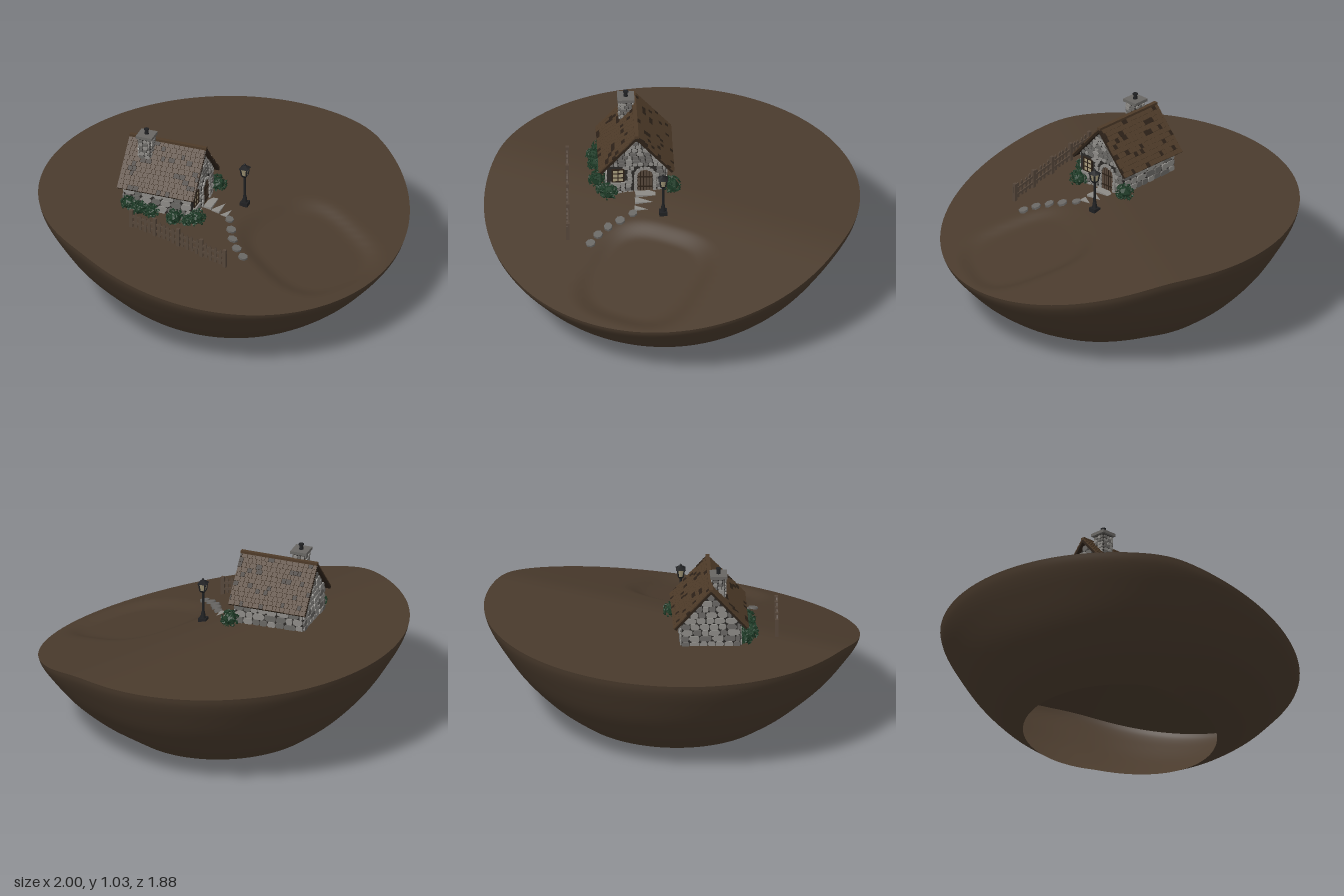
import * as THREE from 'three';
import { mergeGeometries, mergeVertices } from 'three/addons/utils/BufferGeometryUtils.js';

const mat = (name, color, side = THREE.FrontSide) => {
  const m = new THREE.MeshStandardMaterial({ color, side });
  m.name = name;
  return m;
};

let seed = 7;
const rnd = (a = 0, b = 1) => {
  seed = (seed * 16807) % 2147483647;
  return a + (b - a) * (seed / 2147483647);
};

// Ground height: nearly level at the back, sloping at the front, with a shallow basin
function groundY(x, z) {
  const level = 0.612 - 0.025 * z, slope = 0.617 - 0.283 * z, k = 0.012;
  const base = -k * Math.log(Math.exp(-level / k) + Math.exp(-slope / k)) + 0.004;
  const d = Math.cbrt(Math.abs((x - 0.12) / 0.33) ** 3 + Math.abs((z - 0.55) / 0.33) ** 3);
  return base - 0.03 * (1 - THREE.MathUtils.smoothstep(d, 0.75, 1.08));
}

// Smooth sheet from a rule (u, v) -> point
function sheet(nu, nv, rule) {
  const g = new THREE.PlaneGeometry(1, 1, nu, nv), p = g.attributes.position, uv = g.attributes.uv;
  for (let i = 0; i < p.count; i++) p.setXYZ(i, ...rule(uv.getX(i), uv.getY(i)));
  g.deleteAttribute('uv');
  g.deleteAttribute('normal');
  const merged = mergeVertices(g, 1e-5);
  merged.computeVertexNormals();
  return merged;
}

// Gathers transformed geometries and joins them into one mesh
class Batch {
  constructor() { this.list = []; }
  add(geo, x = 0, y = 0, z = 0, rx = 0, ry = 0, rz = 0, frame) {
    const g = geo.index ? geo.toNonIndexed() : geo.clone();
    g.applyMatrix4(new THREE.Matrix4().makeRotationFromEuler(new THREE.Euler(rx, ry, rz)).setPosition(x, y, z));
    if (frame) g.applyMatrix4(frame);
    this.list.push(g);
  }
  mesh(name, material, parent) {
    const m = new THREE.Mesh(mergeGeometries(this.list), material);
    m.name = name;
    parent.add(m);
  }
}
const box = (w, h, d) => new THREE.BoxGeometry(w, h, d);
const frameAt = (x, y, z, ry) => new THREE.Matrix4().makeRotationY(ry).setPosition(x, y, z);
const polygon = (pts, depth) => new THREE.ExtrudeGeometry(
  new THREE.Shape(pts.map(([x, y]) => new THREE.Vector2(x, y))), { depth, bevelEnabled: false });

// One rough-cut stone face
function stone(w, h) {
  const a = w / 2, b = h / 2, c = () => rnd(0.1, 0.55);
  return polygon([[-a, -b * c()], [-a * (1 - c()), -b], [a * (1 - c()), -b], [a, -b * c()],
    [a, b * c()], [a * (1 - c()), b], [-a * (1 - c()), b], [-a, b * c()]], rnd(0.005, 0.01));
}

// Courses of stone on one wall
function stoneWall(batches, frame, y0, y1, row, halfAt, skip = () => false) {
  for (let y = y0 + row / 2; y < y1; y += row) {
    const half = halfAt(y + row * 0.3);
    let x = -half;
    while (x < half - 0.008) {
      let w = Math.min(row * rnd(1.0, 1.9), half - x);
      if (half - x - w < row * 0.5) w = half - x;
      if (!skip(x + w / 2, y)) batches[rnd() < 0.55 ? 0 : 1].add(stone(w - 0.003, row - 0.003), x + w / 2, y, 0, 0, 0, 0, frame);
      x += w;
    }
  }
}

export function createModel() {
  const root = new THREE.Group();
  root.name = 'hillCottage';
  const earth = mat('earth', 0x4a3b2d, THREE.DoubleSide), light = mat('lightStone', 0x8c8a86),
    grey = mat('greyStone', 0x686663), mortar = mat('mortar', 0x2b2927), shingle = mat('shingle', 0x4d3a28),
    dark = mat('darkWood', 0x2c2118), wood = mat('weatheredWood', 0x55463a), leaf = mat('leaf', 0x1d3a26),
    iron = mat('iron', 0x1f2022), glass = mat('paleGlass', 0xa79c7c);
  const put = (name, geo, material, parent, x = 0, y = 0, z = 0) => {
    const m = new THREE.Mesh(geo, material);
    m.name = name;
    m.position.set(x, y, z);
    parent.add(m);
    return m;
  };

  // Ground disc and open-bottomed bowl
  const RZ = 0.94;
  put('ground', sheet(128, 64, (u, v) => {
    const a = -u * Math.PI * 2, x = v * Math.cos(a), z = v * RZ * Math.sin(a);
    return [x, groundY(x, z), z];
  }), earth, root);
  const profile = new THREE.SplineCurve([[0, 1], [0.09, 0.985], [0.25, 0.935], [0.54, 0.825], [0.81, 0.68], [1, 0.54]]
    .map(p => new THREE.Vector2(...p)));
  put('bowl', sheet(128, 24, (u, v) => {
    const a = -u * Math.PI * 2, c = Math.cos(a), s = Math.sin(a), p = profile.getPoint(1 - v);
    const bottom = 0.07 - 0.07 * Math.max(0, s) ** 1.2;
    return [c * p.y, THREE.MathUtils.lerp(groundY(c, s * RZ), bottom, p.x), s * RZ * p.y];
  }), earth, root);

  // Cottage walls
  const house = new THREE.Group();
  house.name = 'cottage';
  house.position.set(-0.28, 0, -0.12);
  house.rotation.y = 0.515;
  root.add(house);
  const W = 0.155, L = 0.19, EAVE = 0.76, APEX = 0.935;
  put('wallCore', polygon([[-W, 0.578], [W, 0.578], [W, EAVE], [0, APEX], [-W, EAVE]], 2 * L), mortar, house, 0, 0, -L);
  const stones = [new Batch(), new Batch()];
  const gable = y => (y < EAVE ? W : Math.max(0, W * (APEX - y) / (APEX - EAVE)));
  const DX = 0.045, WX = -0.098;
  const opening = (x, y) => (Math.abs(x - DX) < 0.058 && y < 0.752) || (Math.abs(x - WX) < 0.04 && y > 0.652 && y < 0.748);
  stoneWall(stones, frameAt(0, 0, L, 0), 0.58, 0.92, 0.022, gable, opening);
  stoneWall(stones, frameAt(0, 0, -L, Math.PI), 0.58, 0.92, 0.034, gable);
  for (const s of [-1, 1]) stoneWall(stones, frameAt(s * W, 0, 0, s * Math.PI / 2), 0.58, 0.755, 0.036, () => L);

  // Chimney
  const CX = -0.044, CZ = -0.105, CH = 0.032;
  put('chimneyCore', box(2 * CH, 0.16, 2 * CH), mortar, house, CX, 0.91, CZ);
  for (let i = 0; i < 4; i++) {
    const a = i * Math.PI / 2;
    stoneWall(stones, frameAt(CX + CH * Math.sin(a), 0, CZ + CH * Math.cos(a), a), 0.87, 0.98, 0.018, () => CH);
  }
  put('chimneyCap', box(0.09, 0.016, 0.09), grey, house, CX, 0.994, CZ);
  put('chimneyPot', new THREE.CylinderGeometry(0.009, 0.012, 0.03, 10), iron, house, CX, 1.015, CZ);
  put('chimneyPotRim', new THREE.CylinderGeometry(0.014, 0.014, 0.006, 10), iron, house, CX, 1.03, CZ);

  // Door with stone arch
  const arch = new THREE.Shape();
  arch.moveTo(-0.04, 0.598).lineTo(0.04, 0.598).lineTo(0.04, 0.695).absarc(0, 0.695, 0.04, 0, Math.PI, false).lineTo(-0.04, 0.598);
  put('door', new THREE.ExtrudeGeometry(arch, { depth: 0.004, bevelEnabled: false, curveSegments: 10 }), wood, house, DX, 0, L);
  const trim = new Batch();
  for (const x of [-0.024, -0.008, 0.008, 0.024]) trim.add(box(0.003, 0.125, 0.002), DX + x, 0.662, L + 0.005);
  for (const y of [0.63, 0.69]) trim.add(box(0.072, 0.007, 0.003), DX, y, L + 0.006);
  for (let i = 0; i <= 8; i++) {
    const a = i * Math.PI / 8;
    stones[0].add(stone(0.018, 0.018), DX + 0.05 * Math.cos(a), 0.695 + 0.05 * Math.sin(a), L + 0.003, 0, 0, a);
  }
  for (const s of [-1, 1]) for (let i = 0; i < 4; i++) stones[0].add(stone(0.018, 0.022), DX + s * 0.05, 0.609 + i * 0.024, L + 0.003);

  // Window
  put('windowPane', box(0.056, 0.072, 0.004), glass, house, WX, 0.7, L + 0.003);
  for (const x of [-0.03, 0, 0.03]) trim.add(box(x ? 0.007 : 0.004, 0.08, 0.008), WX + x, 0.7, L + 0.005);
  for (const y of [-0.038, -0.012, 0.014, 0.038]) trim.add(box(0.066, Math.abs(y) > 0.03 ? 0.007 : 0.004, 0.008), WX, 0.7 + y, L + 0.005);
  trim.mesh('doorAndWindowTrim', dark, house);
  put('windowSill', box(0.076, 0.01, 0.02), light, house, WX, 0.656, L + 0.008);
  stones[0].mesh('lightWallStones', light, house);
  stones[1].mesh('greyWallStones', grey, house);

  // Doorstep
  const steps = new Batch();
  for (let i = 0; i < 3; i++) steps.add(box(0.105 + i * 0.008, 0.03, 0.044), DX, 0.592 - i * 0.014, 0.222 + i * 0.046);
  steps.mesh('doorSteps', light, house);

  // Roof slopes with rows of shingles
  const slopeLen = 0.287, pitch = Math.atan2(0.215, 0.19), roofLen = 0.43;
  for (const s of [-1, 1]) {
    const roof = new THREE.Group();
    roof.name = s > 0 ? 'leftRoof' : 'rightRoof';
    roof.position.y = 0.945;
    roof.rotation.z = -s * pitch;
    house.add(roof);
    put('roofBoard', box(slopeLen, 0.012, roofLen), dark, roof, s * slopeLen / 2, -0.002, 0);
    const tiles = [new Batch(), new Batch()];
    const rows = 11, step = slopeLen / rows;
    for (let r = 0; r < rows; r++) {
      for (let z = -roofLen / 2; z < roofLen / 2 - 0.004;) {
        const w = Math.min(rnd(0.018, 0.036), roofLen / 2 - z);
        tiles[rnd() < 0.88 ? 0 : 1].add(box(step * rnd(0.95, 1.12), 0.007, Math.max(0.002, w - 0.002)),
          s * (r + 0.5) * step, 0.007, z + w / 2, 0, 0, s * 0.12);
        z += w;
      }
    }
    tiles[0].mesh('shingles', shingle, roof);
    tiles[1].mesh('darkShingles', dark, roof);
  }
  put('ridgeCap', box(0.022, 0.014, roofLen), shingle, house, 0, 0.953, 0);

  // Stepping stones
  const path = new Batch();
  for (const [x, z] of [[-0.128, 0.2], [-0.17, 0.265], [-0.21, 0.325], [-0.236, 0.39], [-0.247, 0.455]]) {
    const g = new THREE.CylinderGeometry(0.028, 0.03, 0.02, 7);
    g.scale(rnd(0.75, 1), 1, rnd(0.75, 1));
    path.add(g, x, groundY(x, z), z, 0.26, rnd(0, 0.8), 0);
  }
  path.mesh('steppingStones', grey, root);

  // Picket fence
  const fence = new Batch(), A = [-0.622, -0.01], B = [-0.378, 0.465];
  const along = Math.atan2(-(B[1] - A[1]), B[0] - A[0]);
  const at = (t, h) => {
    const x = A[0] + (B[0] - A[0]) * t, z = A[1] + (B[1] - A[1]) * t;
    return new THREE.Vector3(x, groundY(x, z) + h, z);
  };
  const picket = polygon([[-0.007, 0], [0.007, 0], [0.007, 0.078], [0, 0.09], [-0.007, 0.078]], 0.006);
  for (let i = 0; i <= 20; i++) {
    const p = at(i / 20, rnd(-0.002, 0.006));
    fence.add(picket, p.x, p.y, p.z, 0, along, rnd(-0.06, 0.06));
  }
  for (let i = 0; i <= 4; i++) {
    const p = at(i / 4, 0.045);
    fence.add(box(0.018, 0.11, 0.018), p.x, p.y, p.z, 0, along, 0);
    if (i < 4) for (const h of [0.028, 0.064]) {
      const a = at(i / 4, h), b = at((i + 1) / 4, h);
      const frame = new THREE.Matrix4().lookAt(b, a, new THREE.Vector3(0, 1, 0)).setPosition(a.clone().lerp(b, 0.5));
      fence.add(box(0.008, 0.012, a.distanceTo(b)), 0, 0, 0, 0, 0, 0, frame);
    }
  }
  fence.mesh('picketFence', wood, root);

  // Leafy shrubs around the walls
  const shrubs = new Batch();
  for (const [x, z, r] of [[-0.515, -0.165, 0.036], [-0.505, -0.085, 0.038], [-0.47, -0.03, 0.036], [-0.4, 0.08, 0.043],
    [-0.3, 0.14, 0.044], [-0.35, 0.125, 0.028], [-0.015, -0.03, 0.044]]) {
    const y = groundY(x, z) + r * 0.75;
    shrubs.add(new THREE.IcosahedronGeometry(r * 0.85, 0), x, y, z);
    for (let i = 0; i < 80; i++) {
      const a = rnd(0, 6.283), h = rnd(-0.6, 1), q = Math.sqrt(1 - h * h) * r;
      const g = new THREE.OctahedronGeometry(0.012);
      g.scale(1, 0.35, 0.6);
      shrubs.add(g, x + q * Math.cos(a), y + h * r, z + q * Math.sin(a), rnd(0, 3), rnd(0, 3), rnd(0, 3));
    }
  }
  shrubs.mesh('shrubs', leaf, root);

  // Lamp post
  const lamp = new THREE.Group();
  lamp.name = 'lampPost';
  lamp.position.set(0.022, groundY(0.022, 0.145), 0.145);
  lamp.rotation.y = 0.515;
  root.add(lamp);
  put('lampBase', box(0.042, 0.022, 0.042), iron, lamp, 0, 0.008, 0);
  put('lampFoot', new THREE.CylinderGeometry(0.009, 0.015, 0.04, 10), iron, lamp, 0, 0.035, 0);
  put('lampPole', new THREE.CylinderGeometry(0.006, 0.008, 0.16, 10), iron, lamp, 0, 0.1, 0);
  const square = (top, bottom, h) => new THREE.CylinderGeometry(top, bottom, h, 4).rotateY(Math.PI / 4);
  put('lanternTray', square(0.022, 0.012, 0.012), iron, lamp, 0, 0.172, 0);
  put('lanternGlass', square(0.025, 0.017, 0.042), glass, lamp, 0, 0.198, 0);
  const bars = new Batch();
  for (const x of [-1, 1]) for (const z of [-1, 1]) bars.add(box(0.007, 0.044, 0.007), x * 0.015, 0.198, z * 0.015, z * 0.13, 0, -x * 0.13);
  bars.mesh('lanternBars', iron, lamp);
  put('lanternRoof', square(0.006, 0.036, 0.02), iron, lamp, 0, 0.229, 0);
  put('lanternFinial', new THREE.SphereGeometry(0.006, 8, 6), iron, lamp, 0, 0.242, 0);
  return root;
}
